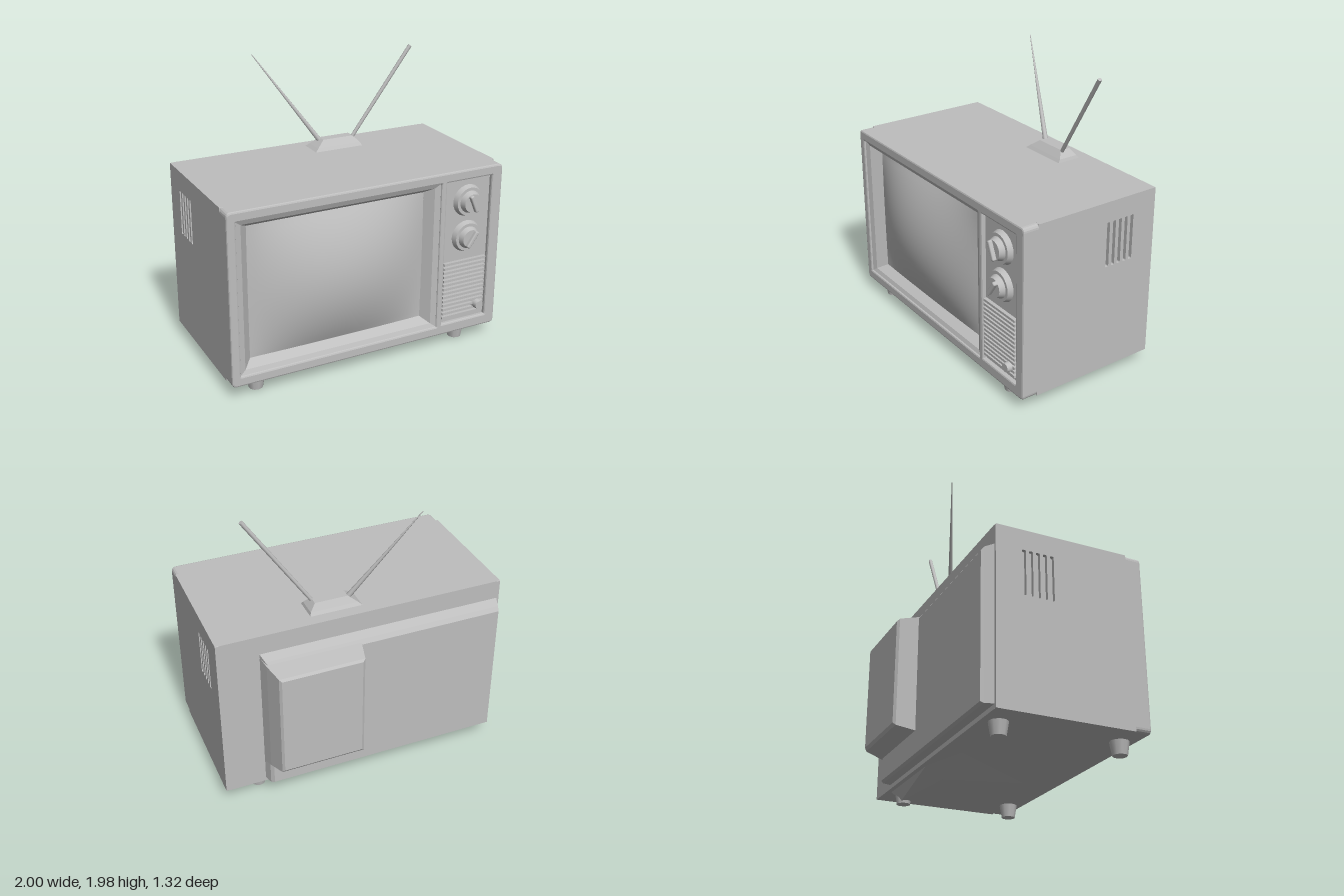
import * as THREE from 'three';
import { RoundedBoxGeometry } from 'three/addons/geometries/RoundedBoxGeometry.js';
import { ConvexGeometry } from 'three/addons/geometries/ConvexGeometry.js';

const grey = new THREE.MeshStandardMaterial({ color: 0xbebebe });
grey.name = 'plain grey';

// Rectangle path, optionally with rounded corners
function rect(path, x0, x1, y0, y1, r = 0.015) {
  path.moveTo(x0 + r, y0);
  path.lineTo(x1 - r, y0); path.quadraticCurveTo(x1, y0, x1, y0 + r);
  path.lineTo(x1, y1 - r); path.quadraticCurveTo(x1, y1, x1 - r, y1);
  path.lineTo(x0 + r, y1); path.quadraticCurveTo(x0, y1, x0, y1 - r);
  path.lineTo(x0, y0 + r); path.quadraticCurveTo(x0, y0, x0 + r, y0);
  return path;
}

// Skin over rectangles [z, x0, x1, y0, y1]; capped unless told otherwise
function loft(sections, capped = true) {
  const pos = [], idx = [];
  for (const [z, x0, x1, y0, y1] of sections) pos.push(x0, y0, z, x1, y0, z, x1, y1, z, x0, y1, z);
  for (let i = 0; i < sections.length - 1; i++) {
    for (let j = 0; j < 4; j++) {
      const a = i * 4 + j, b = i * 4 + (j + 1) % 4;
      idx.push(a, b, b + 4, a, b + 4, a + 4);
    }
  }
  if (capped) {
    const e = (sections.length - 1) * 4;
    idx.push(0, 2, 1, 0, 3, 2, e, e + 1, e + 2, e, e + 2, e + 3);
  }
  const g = new THREE.BufferGeometry();
  g.setAttribute('position', new THREE.Float32BufferAttribute(pos, 3));
  g.setIndex(idx);
  const flat = g.toNonIndexed();
  flat.computeVertexNormals();
  return flat;
}

export function createModel() {
  const model = new THREE.Group();
  model.name = 'television';
  const add = (name, geometry, x = 0, y = 0, z = 0, parent = model) => {
    const m = new THREE.Mesh(geometry, grey);
    m.name = name;
    m.position.set(x, y, z);
    parent.add(m);
    return m;
  };

  // Cabinet core and side walls with vent slots
  add('cabinet', new THREE.BoxGeometry(1.95, 1.2, 0.92), 0, 0.69, 0.02);
  const wall = rect(new THREE.Shape(), -0.48, 0.44, 0.09, 1.29, 0.004);
  for (let i = 0; i < 5; i++) {
    const x = 0.045 + i * 0.048;
    wall.holes.push(rect(new THREE.Path(), x, x + 0.026, 0.84, 1.15, 0.008));
  }
  const wallGeo = new THREE.ExtrudeGeometry(wall, { depth: 0.035, bevelEnabled: false, curveSegments: 3 });
  wallGeo.rotateY(Math.PI / 2);
  add('leftSideWall', wallGeo, 0.965);
  add('rightSideWall', wallGeo, -1);

  // Front frame with openings for the screen and the controls
  const b = 0.012;
  const frame = rect(new THREE.Shape(), -1 + b, 1 - b, 0.09 + b, 1.29 - b, 0.02);
  frame.holes.push(rect(new THREE.Path(), -0.95, 0.53, 0.15, 1.23));
  frame.holes.push(rect(new THREE.Path(), 0.55, 0.93, 0.16, 1.23));
  add('frontFrame', new THREE.ExtrudeGeometry(frame, {
    depth: 0.11 - b, bevelThickness: b, bevelSize: b, bevelSegments: 2, curveSegments: 4,
  }), 0, 0, 0.48);

  // Sloping bezel and bulging screen
  add('screenBezel', loft([
    [0.578, -0.94, 0.52, 0.16, 1.22],
    [0.565, -0.9, 0.48, 0.19, 1.19],
    [0.5, -0.84, 0.43, 0.23, 1.15],
  ], false));
  const screen = new THREE.PlaneGeometry(1.29, 0.94, 24, 18);
  const p = screen.attributes.position;
  for (let i = 0; i < p.count; i++) {
    const u = p.getX(i) / 0.645, v = p.getY(i) / 0.47;
    p.setZ(i, 0.125 * (1 - u * u) * (1 - v * v));
  }
  screen.computeVertexNormals();
  add('screen', screen, -0.205, 0.69, 0.5);

  // Control panel, knobs and speaker grille
  const controls = new THREE.Group();
  controls.name = 'controls';
  model.add(controls);
  add('controlPanel', new THREE.BoxGeometry(0.38, 1.07, 0.08), 0.74, 0.695, 0.52, controls);
  const disc = (r0, r1, d) => new THREE.CylinderGeometry(r1, r0, d, 24).rotateX(Math.PI / 2);
  for (const [y, turn] of [[1.06, 0.4], [0.8, -0.6]]) {
    add('knobPlate', disc(0.115, 0.1, 0.04), 0.745, y, 0.575, controls);
    add('knob', disc(0.08, 0.065, 0.04), 0.745, y, 0.612, controls);
    add('knobGrip', new RoundedBoxGeometry(0.03, 0.13, 0.04, 2, 0.01), 0.745, y, 0.638, controls).rotation.z = turn;
  }
  for (let i = 0; i < 14; i++) {
    add('speakerSlat', new THREE.BoxGeometry(0.335, 0.017, 0.03), 0.735, 0.215 + i * 0.031, 0.57, controls);
  }
  add('smallKnob', disc(0.04, 0.03, 0.07), 0.85, 0.27, 0.585, controls);

  // Stepped back cover and tube housing
  add('backCover', loft([
    [-0.52, -0.96, 0.68, 0.13, 1.1],
    [-0.5, -0.965, 0.7, 0.12, 1.13],
    [-0.43, -0.985, 0.72, 0.12, 1.16],
  ]));
  add('tubeHousing', loft([
    [-0.66, 0.1, 0.65, 0.34, 1.07],
    [-0.645, 0.08, 0.665, 0.32, 1.085],
    [-0.52, 0.05, 0.7, 0.29, 1.11],
    [-0.43, 0.03, 0.72, 0.27, 1.13],
  ]));

  // Tapered feet and the sagging underside
  const foot = new THREE.CylinderGeometry(0.065, 0.048, 0.1, 10);
  for (const x of [-0.8, 0.74]) {
    for (const z of [0.485, -0.33]) add('foot', foot, x, 0.05, z);
  }
  add('underside', new ConvexGeometry([
    [-0.25, 0.095, -0.3], [0.2, 0.095, 0.4], [0.78, 0.095, 0.35], [0.79, 0.095, -0.41],
    [0.1, 0.095, -0.41], [0.2, 0.035, -0.27], [0.7, 0.015, -0.36],
  ].map((c) => new THREE.Vector3(...c))));

  // Aerial: tapered base and two splayed rods
  const aerial = new THREE.Group();
  aerial.name = 'aerial';
  model.add(aerial);
  const base = loft([
    [1.285, -0.03, 0.34, 0.18, 0.36],
    [1.31, 0.0, 0.33, 0.2, 0.34],
    [1.355, 0.06, 0.29, 0.24, 0.31],
  ]).rotateX(-Math.PI / 2);
  add('aerialBase', base, 0, 0, 0, aerial);
  const rod = (name, from, to, r0, r1) => {
    const a = new THREE.Vector3(...from), c = new THREE.Vector3(...to);
    const d = c.clone().sub(a);
    const m = add(name, new THREE.CylinderGeometry(r1, r0, d.length(), 8), 0, 0, 0, aerial);
    m.position.copy(a).add(c).multiplyScalar(0.5);
    m.quaternion.setFromUnitVectors(new THREE.Vector3(0, 1, 0), d.normalize());
  };
  rod('rightRod', [0.06, 1.33, -0.29], [-0.37, 1.96, -0.47], 0.018, 0.003);
  rod('leftRod', [0.28, 1.33, -0.25], [0.715, 1.97, -0.19], 0.013, 0.014);

  return model;
}
